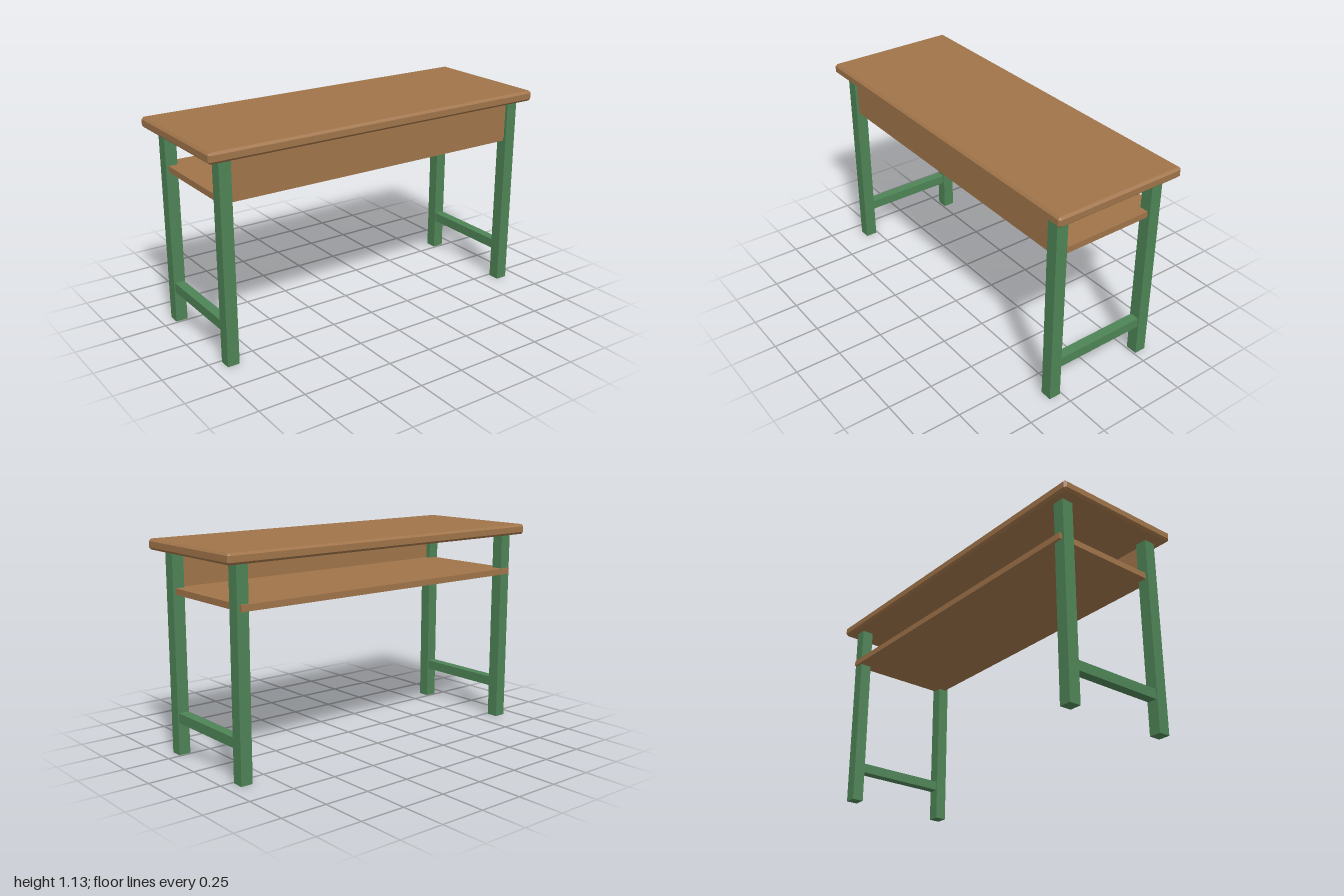
import * as THREE from 'three';
import { ConvexGeometry } from 'three/addons/geometries/ConvexGeometry.js';

// Box with every edge and corner cut by a flat chamfer
function chamferedBox(w, h, d, c) {
  const points = [];
  for (const sx of [-1, 1]) for (const sy of [-1, 1]) for (const sz of [-1, 1]) {
    for (let full = 0; full < 3; full++) {
      const inset = (axis) => (axis === full ? 0 : c);
      points.push(new THREE.Vector3(
        sx * (w / 2 - inset(0)),
        sy * (h / 2 - inset(1)),
        sz * (d / 2 - inset(2))
      ));
    }
  }
  return new ConvexGeometry(points);
}

export function createModel() {
  const model = new THREE.Group();
  model.name = 'desk';

  const wood = new THREE.MeshStandardMaterial({ color: 0xa0744a });
  wood.name = 'wood';
  const green = new THREE.MeshStandardMaterial({ color: 0x4e8456 });
  green.name = 'green paint';

  const add = (name, geometry, material, x, y, z) => {
    const mesh = new THREE.Mesh(geometry, material);
    mesh.name = name;
    mesh.position.set(x, y, z);
    model.add(mesh);
  };

  // Chamfered table top
  add('tableTop', chamferedBox(2, 0.056, 0.746, 0.012), wood, 0, 1.104, 0);

  // Shelf under the top, reaching slightly past the back legs
  add('shelf', new THREE.BoxGeometry(1.83, 0.033, 0.645), wood, 0, 0.8665, -0.0175);

  // Upright panel closing the shelf at the front
  add('frontPanel', new THREE.BoxGeometry(1.8, 0.21, 0.022), wood, 0, 0.973, 0.299);

  // Four square legs, joined in pairs by a low stretcher
  const legX = 0.8975, legZ = 0.2925, legHeight = 1.078;
  const leg = new THREE.BoxGeometry(0.065, legHeight, 0.065);
  const stretcher = new THREE.BoxGeometry(0.053, 0.053, 2 * legZ - 0.065);
  for (const [side, s] of [['left', 1], ['right', -1]]) {
    add(`${side}FrontLeg`, leg, green, s * legX, legHeight / 2, legZ);
    add(`${side}BackLeg`, leg, green, s * legX, legHeight / 2, -legZ);
    add(`${side}Stretcher`, stretcher, green, s * legX, 0.2015, 0);
  }

  return model;
}
